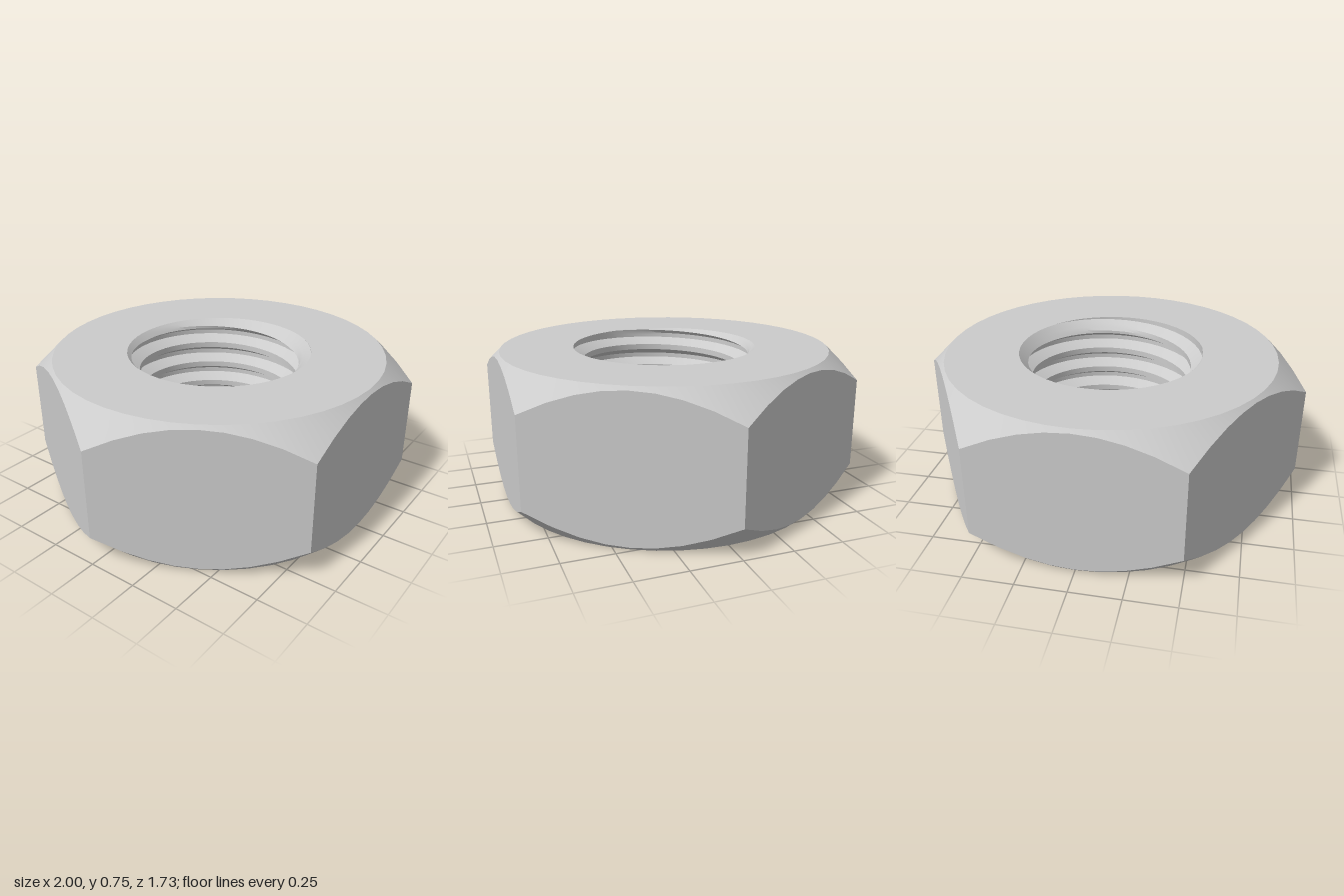
import * as THREE from 'three';
import { toCreasedNormals } from 'three/addons/utils/BufferGeometryUtils.js';

const H = 0.755, FLAT = Math.sqrt(3) / 2, FACE_R = 0.85; // height, half across flats, bearing face radius
const CREST = 0.415, ROOT = 0.475, PITCH = 0.12;
const SEGS = 48; // a multiple of 6, so columns fall on the hexagon corners

// Surface swept round the y axis; section(angle) lists [radius, y] points
function sweep(section) {
  const columns = [];
  for (let i = 0; i <= SEGS; i++) {
    const a = (i % SEGS) / SEGS * Math.PI * 2;
    columns.push(section(a).map(([r, y]) => new THREE.Vector3(r * Math.cos(a), y, -r * Math.sin(a))));
  }
  const pos = [];
  const tri = (a, b, c) => {
    const area = b.clone().sub(a).cross(c.clone().sub(a)).length();
    if (area > 1e-8) pos.push(...a, ...b, ...c);
  };
  for (let i = 0; i < SEGS; i++) {
    const p = columns[i], q = columns[i + 1];
    for (let j = 0; j < p.length - 1; j++) {
      tri(p[j], p[j + 1], q[j + 1]);
      tri(p[j], q[j + 1], q[j]);
    }
  }
  const geo = new THREE.BufferGeometry();
  geo.setAttribute('position', new THREE.Float32BufferAttribute(pos, 3));
  return toCreasedNormals(geo, 0.5);
}

// Distance from the axis to the hexagon at an angle
function hexRadius(a) {
  const sector = Math.PI / 3;
  return FLAT / Math.cos((a % sector) - sector / 2);
}

// Bearing faces, conical corner chamfers and the six flats
function bodySection(a) {
  const r = hexRadius(a), drop = r - FACE_R;
  return [[ROOT, H], [FACE_R, H], [r, H - drop], [r, drop], [FACE_R, 0], [ROOT, 0]];
}

// Trapezoidal thread radius, opened by a 45 degree countersink at both ends
function threadRadius(a, y) {
  const turn = y / PITCH - a / (Math.PI * 2);
  const t = Math.abs(turn - Math.floor(turn) - 0.5) * 2; // 0 at root, 1 at crest
  const thread = THREE.MathUtils.lerp(ROOT, CREST, THREE.MathUtils.clamp((t - 0.2) / 0.55, 0, 1));
  return Math.max(thread, ROOT - Math.min(y, H - y));
}

// Rows follow the helix and are trimmed at the two bearing faces
function threadSection(a) {
  const steps = [0, 0.125, 0.25, 0.4, 0.5, 0.6, 0.75, 0.875];
  const points = [];
  for (let k = -1; k <= Math.ceil(H / PITCH); k++) {
    for (const s of steps) {
      const y = THREE.MathUtils.clamp((k + s + a / (Math.PI * 2)) * PITCH, 0, H);
      points.push([threadRadius(a, y), y]);
    }
  }
  return points;
}

// The seam joins a row to itself one pitch higher, so the last column runs on to a full turn
function threadGeometry() {
  const pos = [], columns = [];
  for (let i = 0; i <= SEGS; i++) {
    const a = i / SEGS * Math.PI * 2;
    columns.push(threadSection(a).map(([r, y]) => new THREE.Vector3(r * Math.cos(a), y, -r * Math.sin(a))));
  }
  const tri = (a, b, c) => {
    if (b.clone().sub(a).cross(c.clone().sub(a)).length() > 1e-8) pos.push(...a, ...b, ...c);
  };
  for (let i = 0; i < SEGS; i++) {
    const p = columns[i], q = columns[i + 1];
    for (let j = 0; j < p.length - 1; j++) {
      tri(p[j], p[j + 1], q[j + 1]);
      tri(p[j], q[j + 1], q[j]);
    }
  }
  const geo = new THREE.BufferGeometry();
  geo.setAttribute('position', new THREE.Float32BufferAttribute(pos, 3));
  return toCreasedNormals(geo, 0.5);
}

export function createModel() {
  const group = new THREE.Group();
  group.name = 'hexNut';
  const material = new THREE.MeshStandardMaterial({ color: 0xcccccc });

  const body = new THREE.Mesh(sweep(bodySection), material);
  body.name = 'hexBody';
  const thread = new THREE.Mesh(threadGeometry(), material);
  thread.name = 'innerThread';
  group.add(body, thread);
  return group;
}
